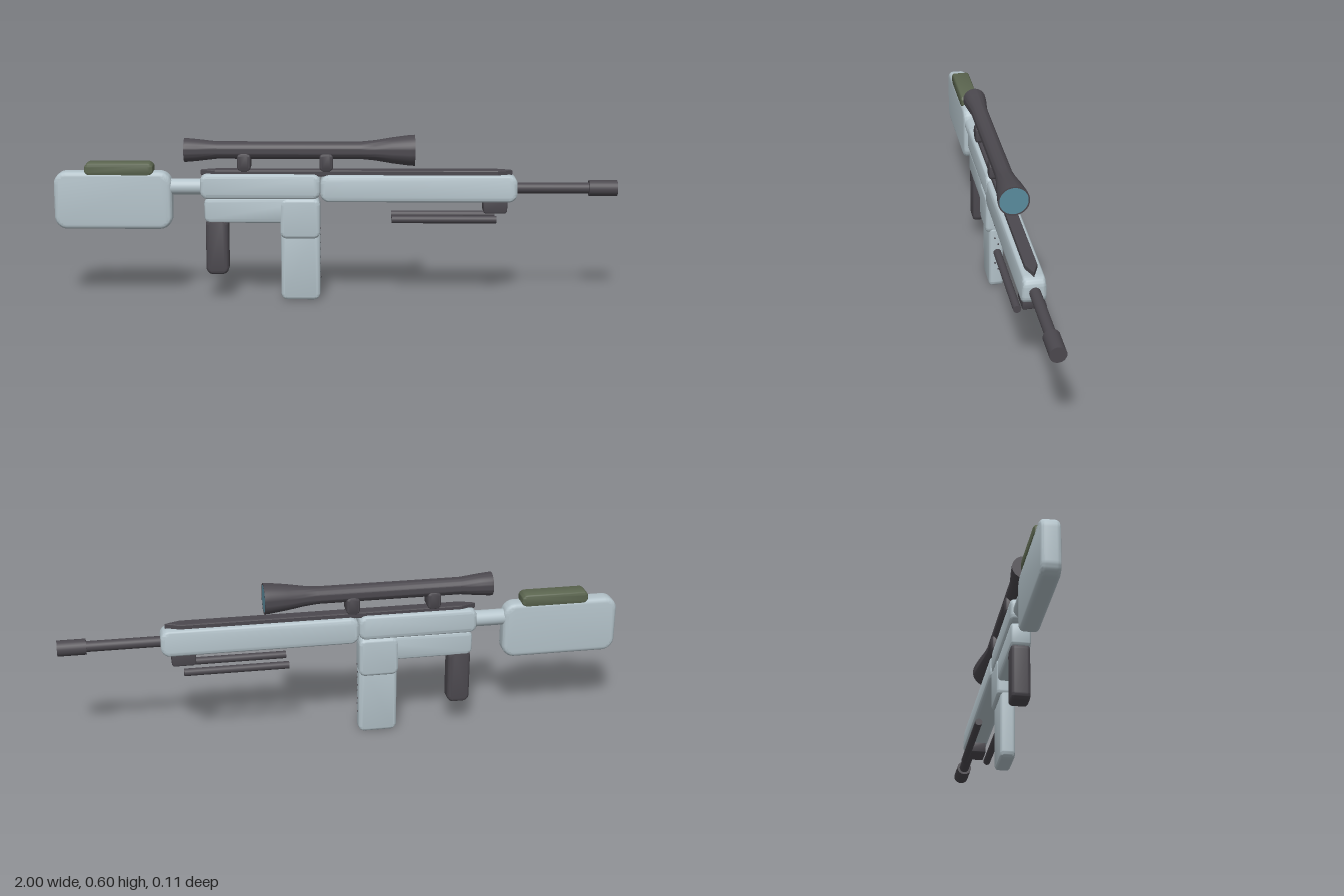
import * as THREE from 'three';
import { toCreasedNormals } from 'three/addons/utils/BufferGeometryUtils.js';

const mat = (name, color) => {
  const m = new THREE.MeshStandardMaterial({ color });
  m.name = name;
  return m;
};

export function createModel() {
  const root = new THREE.Group();
  const shell = mat('paleBlueGrey', 0xb4c3ca);
  const dark = mat('charcoal', 0x4b484e);
  const olive = mat('olive', 0x5c6650);
  const glass = mat('lensBlue', 0x5a8b9d);

  const add = (name, geo, material, x = 0, y = 0, z = 0) => {
    const mesh = new THREE.Mesh(geo, material);
    mesh.name = name;
    mesh.position.set(x, y, z);
    root.add(mesh);
    return mesh;
  };

  // Soft slab: rounded side profile, bevelled across its width
  const slab = (name, material, x0, x1, y0, y1, halfZ, radius, bevel) => {
    const w = (x1 - x0) / 2 - bevel, h = (y1 - y0) / 2 - bevel;
    const r = Math.max(0.002, Math.min(radius, w, h) - 0.0005);
    const s = new THREE.Shape();
    s.moveTo(-w + r, -h);
    s.lineTo(w - r, -h);
    s.absarc(w - r, -h + r, r, -Math.PI / 2, 0, false);
    s.absarc(w - r, h - r, r, 0, Math.PI / 2, false);
    s.absarc(-w + r, h - r, r, Math.PI / 2, Math.PI, false);
    s.absarc(-w + r, -h + r, r, Math.PI, Math.PI * 1.5, false);
    const depth = 2 * (halfZ - bevel);
    const geo = new THREE.ExtrudeGeometry(s, {
      depth, bevelEnabled: true, bevelSize: bevel, bevelThickness: bevel,
      bevelSegments: 4, curveSegments: 5,
    });
    geo.translate(0, 0, -depth / 2);
    return add(name, toCreasedNormals(geo, 0.7), material, (x0 + x1) / 2, (y0 + y1) / 2);
  };

  // Cylinder lying along x
  const rod = (name, material, x0, x1, y, z, r, sides = 28) => {
    const geo = new THREE.CylinderGeometry(r, r, x1 - x0, sides).rotateZ(-Math.PI / 2);
    return add(name, geo, material, (x0 + x1) / 2, y, z);
  };

  // Stock, cheek pad and connecting tube
  slab('stock', shell, -1, -0.58, 0.26, 0.467, 0.033, 0.03, 0.016);
  slab('cheekPad', olive, -0.89, -0.645, 0.452, 0.5, 0.033, 0.012, 0.01);
  rod('stockTube', shell, -0.6, -0.46, 0.411, 0, 0.029);

  // Body, grip and magazine
  slab('upperBody', shell, -0.48, -0.053, 0.37, 0.46, 0.037, 0.014, 0.014);
  slab('lowerBody', shell, -0.466, -0.055, 0.284, 0.376, 0.034, 0.012, 0.012);
  slab('magazineWell', shell, -0.196, -0.054, 0.228, 0.372, 0.038, 0.012, 0.012);
  slab('magazine', shell, -0.194, -0.054, 0, 0.26, 0.026, 0.012, 0.012);
  slab('grip', dark, -0.462, -0.381, 0.095, 0.3, 0.032, 0.012, 0.012);

  // Staggered studs up the magazine front
  for (let i = 0; i < 8; i++) {
    rod('magazineStud', dark, -0.06, -0.051, 0.078 + i * 0.0263, i % 2 ? 0.006 : -0.006, 0.003, 10);
  }

  // Fore-end, slightly wider at its base
  const foreEnd = slab('foreEnd', shell, -0.053, 0.645, 0.361, 0.457, 0.042, 0.018, 0.014);
  const p = foreEnd.geometry.attributes.position;
  for (let i = 0; i < p.count; i++) p.setZ(i, p.getZ(i) * (0.95 - p.getY(i) * 1.2));
  foreEnd.geometry = toCreasedNormals(foreEnd.geometry, 0.7);

  // Barrel and muzzle
  rod('barrel', dark, 0.6, 0.92, 0.408, 0, 0.019);
  rod('muzzle', dark, 0.9, 1, 0.408, 0, 0.028);

  // Top rail with pointed ends
  const plan = new THREE.Shape();
  [[-0.473, 0], [-0.425, 0.017], [0.575, 0.017], [0.622, 0], [0.575, -0.017], [-0.425, -0.017]]
    .forEach(([x, y], i) => (i ? plan.lineTo(x, y) : plan.moveTo(x, y)));
  const railGeo = new THREE.ExtrudeGeometry(plan, {
    depth: 0.014, bevelEnabled: true, bevelSize: 0.004, bevelThickness: 0.004, bevelSegments: 2,
  }).rotateX(-Math.PI / 2);
  add('topRail', railGeo, dark, 0, 0.456);

  // Scope: turned body with a flared front, on two mounts
  const profile = [[0, -0.535], [0.042, -0.535], [0.042, -0.525], [0.039, -0.49], [0.031, -0.42],
    [0.031, 0.09], [0.036, 0.14], [0.046, 0.2], [0.054, 0.262], [0.055, 0.281], [0.05, 0.281],
    [0.05, 0.275], [0, 0.275]].map(([r, x]) => new THREE.Vector2(r, x));
  const scopeGeo = toCreasedNormals(new THREE.LatheGeometry(profile, 40), 0.6).rotateZ(-Math.PI / 2);
  add('scopeBody', scopeGeo, dark, 0, 0.543);
  rod('scopeLens', glass, 0.274, 0.28, 0.543, 0, 0.0505, 40);
  for (const x of [-0.323, -0.032]) {
    slab('scopeMount', dark, x - 0.024, x + 0.024, 0.471, 0.535, 0.033, 0.008, 0.008);
  }

  // Folded support legs under the fore-end
  slab('legMount', dark, 0.525, 0.61, 0.32, 0.37, 0.033, 0.006, 0.006);
  for (const side of [-1, 1]) {
    rod('foldedLeg', dark, 0.2, 0.57, 0.302, side * 0.043, 0.0135, 20);
  }
  return root;
}
